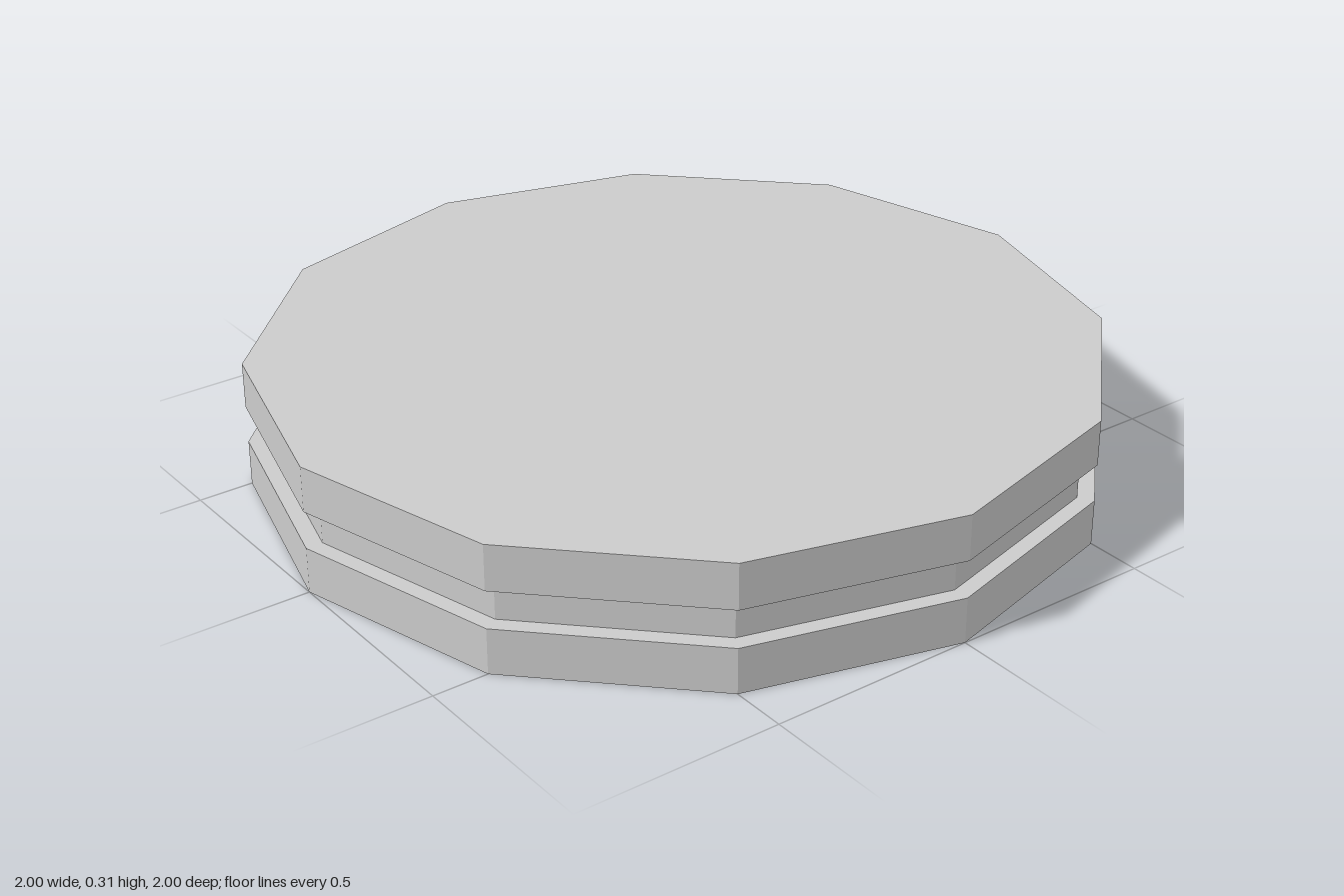
import * as THREE from 'three';

const SIDES = 12;

export function createModel() {
  const model = new THREE.Group();
  model.name = 'groovedDisc';
  const material = new THREE.MeshStandardMaterial({ color: 0xcccccc, flatShading: true });

  // One twelve-sided slab between two heights, with a corner facing the front
  const addDisc = (name, radius, bottom, top, open = false) => {
    const geometry = new THREE.CylinderGeometry(radius, radius, top - bottom, SIDES, 1, open);
    const disc = new THREE.Mesh(geometry, material);
    disc.name = name;
    disc.position.y = (bottom + top) / 2;
    model.add(disc);
  };

  addDisc('lowerPlate', 1, 0, 0.11);
  // Recessed band between the plates, whose ends are closed by them
  addDisc('grooveCore', 0.96, 0.11, 0.2, true);
  addDisc('upperPlate', 1, 0.2, 0.31);

  return model;
}
